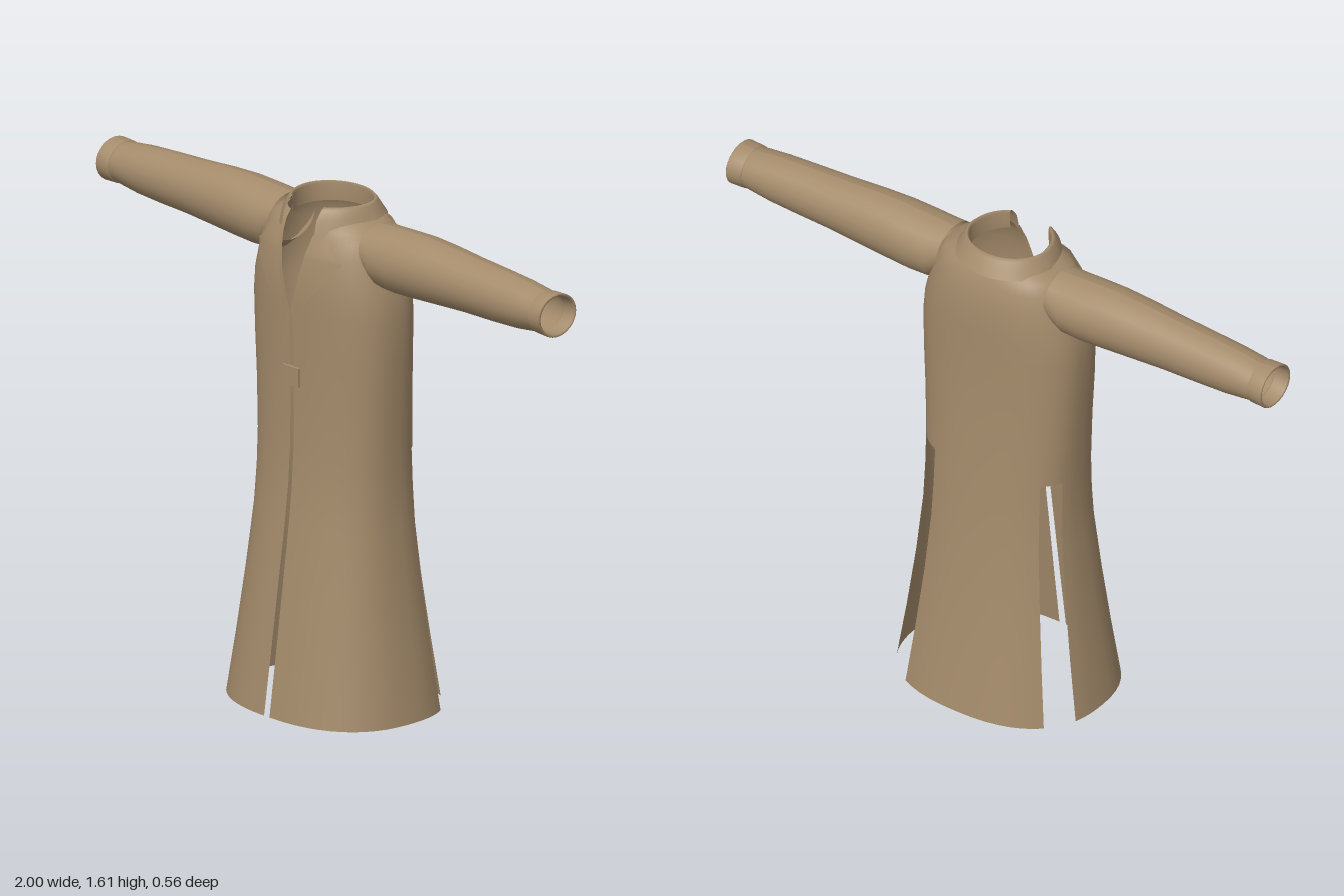
import * as THREE from 'three';

const cloth = new THREE.MeshStandardMaterial({ color: 0xa48b6b, side: THREE.DoubleSide });
cloth.name = 'tan cloth';

// Smooth sheet of points; skip(i, j) leaves a cell open
function sheet(cols, rows, point, skip = () => false) {
  const pos = [], idx = [];
  for (let j = 0; j <= rows; j++)
    for (let i = 0; i <= cols; i++) pos.push(...point(i, j));
  for (let j = 0; j < rows; j++)
    for (let i = 0; i < cols; i++) {
      if (skip(i, j)) continue;
      const a = j * (cols + 1) + i, b = a + cols + 1;
      idx.push(a, a + 1, b + 1, a, b + 1, b);
    }
  const g = new THREE.BufferGeometry();
  g.setAttribute('position', new THREE.Float32BufferAttribute(pos, 3));
  g.setIndex(idx);
  g.computeVertexNormals();
  return g;
}

function add(parent, name, geometry) {
  const m = new THREE.Mesh(geometry, cloth);
  m.name = name;
  parent.add(m);
  return m;
}

// Coat sections: height, half width, front depth, back depth, half front opening
const SECTIONS = [
  [0, 0.345, 0.28, 0.28, 0.012], [0.2, 0.315, 0.252, 0.25, 0.011],
  [0.4, 0.289, 0.225, 0.222, 0.01], [0.6, 0.269, 0.198, 0.2, 0.009],
  [0.72, 0.265, 0.185, 0.19, 0.008], [0.835, 0.265, 0.178, 0.181, 0.008],
  [1.0, 0.272, 0.175, 0.17, 0.008], [1.15, 0.281, 0.176, 0.164, 0.008],
  [1.28, 0.284, 0.179, 0.163, 0.01], [1.35, 0.277, 0.18, 0.163, 0.03],
  [1.41, 0.262, 0.177, 0.162, 0.046], [1.47, 0.245, 0.167, 0.156, 0.058],
  [1.515, 0.228, 0.152, 0.145, 0.068], [1.545, 0.205, 0.138, 0.134, 0.073],
  [1.57, 0.15, 0.122, 0.12, 0.075],
];
const P = 0.83; // squareness of the cross-section
const spow = (v) => Math.sign(v) * Math.abs(v) ** P;
const openAngle = (half, width) => Math.asin((half / width) ** (1 / P));

function sectionAt(y) {
  let k = 0;
  while (k < SECTIONS.length - 2 && y > SECTIONS[k + 1][0]) k++;
  const a = SECTIONS[k], b = SECTIONS[k + 1], t = (y - a[0]) / (b[0] - a[0]);
  return a.map((v, i) => v + (b[i] - v) * t);
}

// Body: columns follow the front edges and the two rear side slits
function bodyGeometry() {
  const counts = [16, 4, 12, 4, 16], rad = Math.PI / 180;
  const starts = [0, 16, 20, 32, 36, 52];
  const point = (i, j) => {
    const [y, w, f, b, half] = SECTIONS[j];
    const o = openAngle(half, w);
    const keys = [o, 118 * rad, 146 * rad, 229 * rad, 251 * rad, 2 * Math.PI - o];
    let k = 0;
    while (k < 4 && i > starts[k + 1]) k++;
    const a = keys[k] + (keys[k + 1] - keys[k]) * (i - starts[k]) / counts[k];
    const c = Math.cos(a);
    return [w * spow(Math.sin(a)), y, (c > 0 ? f : b) * spow(c)];
  };
  const slit = (i, j) => j < 5 && ((i >= 16 && i < 20) || (i >= 32 && i < 36));
  return sheet(52, SECTIONS.length - 1, point, slit);
}

// Turned-down collar: outer fall, rolled top and inner stand
function collarGeometry() {
  const profile = [
    [1.545, 0.172, 0.152], [1.575, 0.157, 0.14], [1.604, 0.142, 0.121],
    [1.612, 0.134, 0.113], [1.604, 0.127, 0.108], [1.55, 0.125, 0.112],
  ];
  return sheet(40, profile.length - 1, (i, j) => {
    const [y, w, d] = profile[j];
    const o = Math.asin(0.072 / w);
    const a = o + (2 * Math.PI - 2 * o) * i / 40;
    const front = Math.max(0, Math.cos(a));
    const drop = j === 0 ? 0.035 * front : 0;
    const z = d * Math.cos(a) + 0.02 * front;
    return [w * Math.sin(a), y + (Math.cos(a) < 0 && j === 0 ? 0.01 : 0) - drop, z];
  });
}

// Lapel rows: height, inner edge, outer edge; lies just off the chest
function lapelGeometry() {
  const rows = [
    [1.275, 0.01, 0.028], [1.31, 0.018, 0.062], [1.35, 0.03, 0.1],
    [1.41, 0.046, 0.15], [1.46, 0.057, 0.188], [1.475, 0.06, 0.165],
    [1.5, 0.066, 0.14], [1.53, 0.07, 0.13],
  ];
  return sheet(6, rows.length - 1, (i, j) => {
    const [y, x0, x1] = rows[j], [, w, f] = sectionAt(y);
    const x = x0 + (x1 - x0) * i / 6;
    return [x, y, f * (1 - (x / w) ** (2 / P)) ** (P / 2) + 0.014];
  });
}

// Tube along x; stations: x, centre height, half height, half depth
function tubeGeometry(stations) {
  return sheet(24, stations.length - 1, (i, j) => {
    const [x, cy, ry, rz] = stations[j], a = -i / 24 * Math.PI * 2;
    return [x, cy + ry * Math.cos(a), -0.004 + rz * Math.sin(a)];
  });
}

const SLEEVE = [
  [0.2, 1.49, 0.077, 0.095], [0.25, 1.472, 0.098, 0.1], [0.32, 1.472, 0.101, 0.101],
  [0.4, 1.475, 0.101, 0.098], [0.5, 1.476, 0.096, 0.093], [0.62, 1.475, 0.088, 0.086],
  [0.75, 1.473, 0.083, 0.081], [0.85, 1.472, 0.077, 0.078], [0.92, 1.472, 0.068, 0.074],
  [0.955, 1.472, 0.063, 0.071],
];
const CUFF = [
  [0.945, 1.472, 0.063, 0.071], [0.946, 1.472, 0.067, 0.076], [0.997, 1.472, 0.069, 0.078],
  [1, 1.472, 0.066, 0.075], [0.997, 1.472, 0.061, 0.069], [0.95, 1.472, 0.059, 0.067],
];

export function createModel() {
  const coat = new THREE.Group();
  coat.name = 'longCoat';
  add(coat, 'body', bodyGeometry());
  add(coat, 'collar', collarGeometry());

  // Mirrored sleeves, cuffs and lapels
  for (const s of [1, -1]) {
    const side = new THREE.Group();
    side.name = s > 0 ? 'leftSide' : 'rightSide';
    side.scale.x = s;
    add(side, 'sleeve', tubeGeometry(SLEEVE));
    add(side, 'cuff', tubeGeometry(CUFF));
    add(side, 'lapel', lapelGeometry());
    coat.add(side);
  }

  // Fastening tab across the front opening
  add(coat, 'frontTab', new THREE.BoxGeometry(0.07, 0.06, 0.012)).position.set(0, 1.07, 0.178);
  return coat;
}
